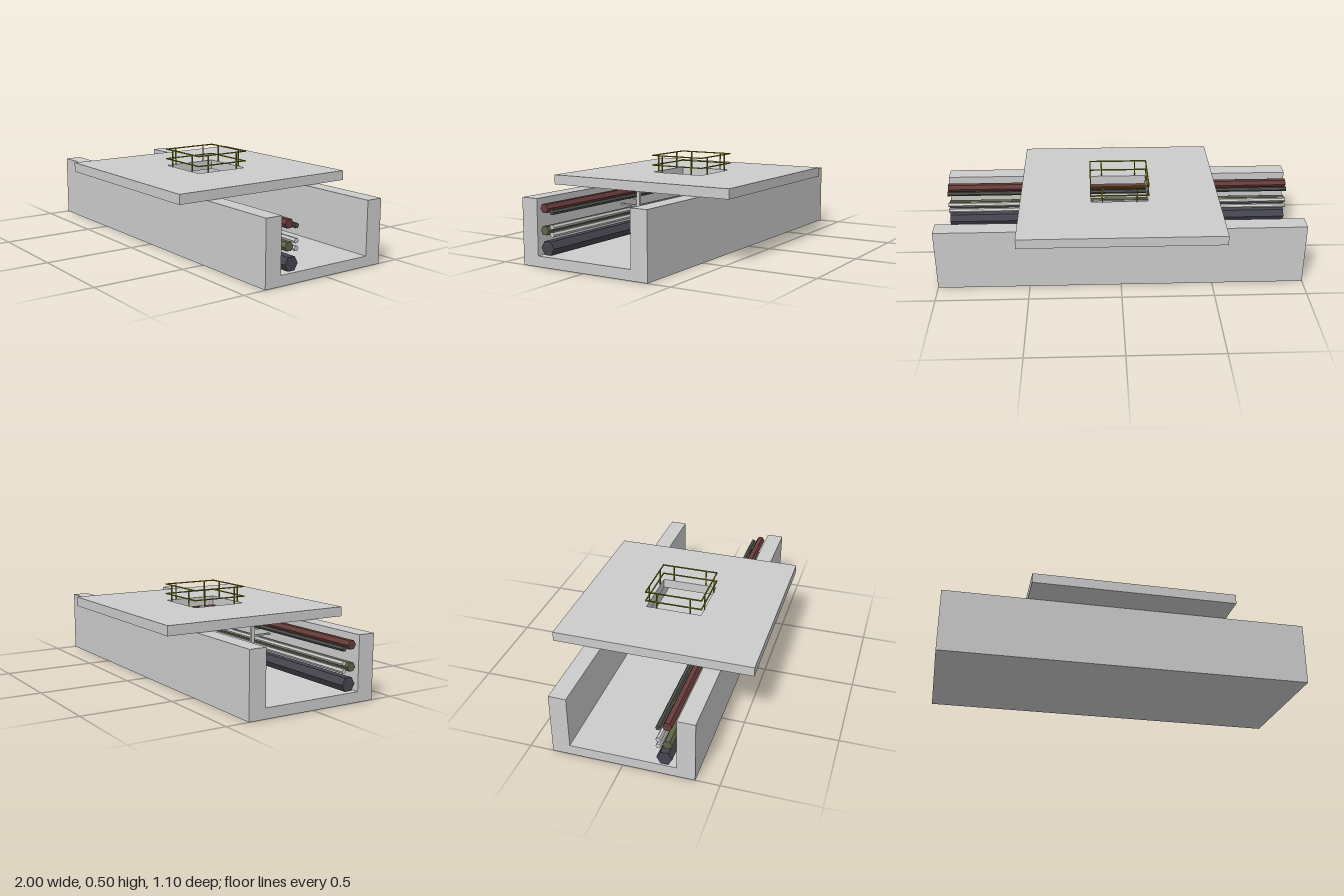
import * as THREE from 'three';

const material = (color) => new THREE.MeshStandardMaterial({ color, flatShading: true });
const concrete = material(0xcccccc);
const railPaint = material(0x808010);

function add(parent, name, geometry, mat, x = 0, y = 0, z = 0) {
  const mesh = new THREE.Mesh(geometry, mat);
  mesh.name = name;
  mesh.position.set(x, y, z);
  parent.add(mesh);
  return mesh;
}

const box = (w, h, d) => new THREE.BoxGeometry(w, h, d);

const square = (Type, r) => new Type([
  new THREE.Vector2(-r, -r), new THREE.Vector2(r, -r),
  new THREE.Vector2(r, r), new THREE.Vector2(-r, r),
]);

// U-shaped channel, extruded along x
function trench() {
  const points = [[-0.375, 0], [0.375, 0], [0.375, 0.344], [0.281, 0.344],
    [0.281, 0.055], [-0.281, 0.055], [-0.281, 0.344], [-0.375, 0.344]];
  const shape = new THREE.Shape(points.map(([z, y]) => new THREE.Vector2(z, y)));
  return new THREE.ExtrudeGeometry(shape, { depth: 2, bevelEnabled: false })
    .translate(0, 0, -1).rotateY(Math.PI / 2);
}

// Cover slab with a square access opening
function slab() {
  const shape = square(THREE.Shape, 0.549);
  shape.holes.push(square(THREE.Path, 0.157));
  return new THREE.ExtrudeGeometry(shape, { depth: 0.053, bevelEnabled: false })
    .rotateX(-Math.PI / 2);
}

// Guard rail: four equal sides, each with two rails and two posts
function guardRail() {
  const rail = new THREE.Group();
  rail.name = 'guardRail';
  const t = 0.006;
  for (let i = 0; i < 4; i++) {
    const side = new THREE.Group();
    side.name = 'railSide';
    side.rotation.y = i * Math.PI / 2;
    for (const y of [0.438, 0.493]) add(side, 'rail', box(0.326, t, t), railPaint, 0, y, 0.16);
    for (const x of [-0.096, 0.096]) add(side, 'railPost', box(t, 0.095, t), railPaint, x, 0.4445, 0.16);
    rail.add(side);
  }
  return rail;
}

export function createModel() {
  const model = new THREE.Group();
  model.name = 'utilityTrench';

  add(model, 'trench', trench(), concrete);
  add(model, 'coverSlab', slab(), concrete, 0, 0.346, 0);
  model.add(guardRail());

  // Pipe racks: an upright with three shelf brackets reaching to the wall
  for (const x of [-0.245, 0.295]) {
    const rack = new THREE.Group();
    rack.name = 'pipeRack';
    rack.position.x = x;
    add(rack, 'upright', box(0.018, 0.291, 0.018), concrete, 0, 0.2005, 0.162);
    for (const y of [0.152, 0.225, 0.263]) {
      add(rack, 'bracket', box(0.018, 0.008, 0.111), concrete, 0, y, 0.2265);
    }
    model.add(rack);
  }

  // Six-sided pipes running the full length: name, y, z, radius, color
  const pipes = [
    ['redPipe', 0.298, 0.234, 0.025, 0x663c3a],
    ['darkConduit', 0.282, 0.188, 0.0135, 0x4c5048],
    ['greenPipe', 0.187, 0.234, 0.025, 0x626448],
    ['upperConduit', 0.209, 0.188, 0.0135, 0xcccccc],
    ['lowerConduit', 0.171, 0.188, 0.0135, 0xcccccc],
    ['mainPipe', 0.1, 0.218, 0.04, 0x45454f],
  ];
  for (const [name, y, z, r, color] of pipes) {
    // First corner of the hexagon points along z
    const geometry = new THREE.CylinderGeometry(r, r, 2, 6).rotateZ(Math.PI / 2);
    add(model, name, geometry, material(color), 0, y, z);
  }

  return model;
}
